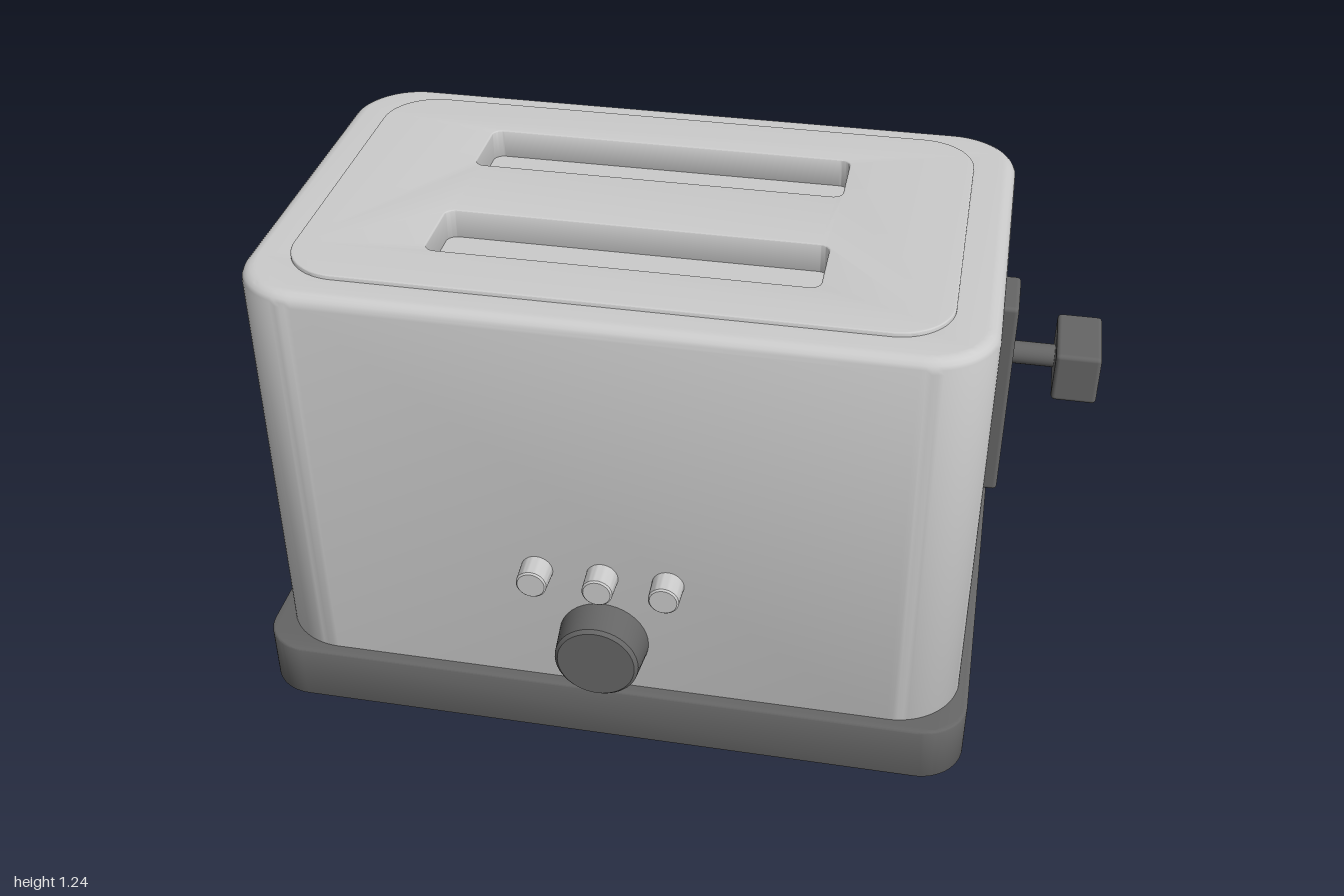
import * as THREE from 'three';
import { toCreasedNormals } from 'three/addons/utils/BufferGeometryUtils.js';
import { RoundedBoxGeometry } from 'three/addons/geometries/RoundedBoxGeometry.js';

const metal = new THREE.MeshStandardMaterial({ color: 0xcccccc });
const dark = new THREE.MeshStandardMaterial({ color: 0x666666 });

// Rounded rectangle in plan; shape y runs along -z
function plan(Type, [x0, x1, z0, z1], r) {
  const s = new Type(), a = -z1, b = -z0;
  s.moveTo(x0 + r, a);
  s.lineTo(x1 - r, a);
  s.absarc(x1 - r, a + r, r, -Math.PI / 2, 0);
  s.lineTo(x1, b - r);
  s.absarc(x1 - r, b - r, r, 0, Math.PI / 2);
  s.lineTo(x0 + r, b);
  s.absarc(x0 + r, b - r, r, Math.PI / 2, Math.PI);
  s.lineTo(x0, a + r);
  s.absarc(x0 + r, a + r, r, Math.PI, Math.PI * 1.5);
  return s;
}

// Upright slab with rounded corners, softened edges and optional openings
function slab(rect, y0, y1, r, bevel, holes = []) {
  const shape = plan(THREE.Shape, rect, r);
  holes.forEach(h => shape.holes.push(plan(THREE.Path, h.rect, h.r)));
  const geo = new THREE.ExtrudeGeometry(shape, {
    depth: y1 - y0 - 2 * bevel, bevelThickness: bevel, bevelSize: bevel,
    bevelOffset: -bevel, bevelSegments: 5, curveSegments: 10,
  });
  geo.rotateX(-Math.PI / 2).translate(0, y0 + bevel, 0);
  return toCreasedNormals(geo, 0.6);
}

// Box given by its extents
function block(x0, x1, y0, y1, z0, z1, r = 0.01) {
  return new RoundedBoxGeometry(x1 - x0, y1 - y0, z1 - z0, 3, r)
    .translate((x0 + x1) / 2, (y0 + y1) / 2, (z0 + z1) / 2);
}

// Tapered disc from y = 0 to h with softened rims
function disc(r0, r1, h, e) {
  const pts = [[0, 0], [r0 - e, 0], [r0, e], [r1, h - e], [r1 - e, h], [0, h]];
  const geo = new THREE.LatheGeometry(pts.map(p => new THREE.Vector2(...p)), 40);
  return toCreasedNormals(geo, 0.6);
}

export function createModel() {
  const group = new THREE.Group();
  const add = (name, geo, mat) => {
    const mesh = new THREE.Mesh(geo, mat);
    mesh.name = name;
    group.add(mesh);
    return mesh;
  };

  // Base and housing
  add('base', slab([-0.945, 0.79, -0.595, 0.535], 0.07, 0.22, 0.11, 0.008), dark);
  add('housing', slab([-0.91, 0.765, -0.555, 0.505], 0.16, 1.23, 0.16, 0.03,
    [{ rect: [-0.7, 0.55, -0.4, 0.34], r: 0.05 }]), metal);

  // Top plate with two bread slots and their floor
  const slots = [[-0.52, 0.37, -0.33, -0.145], [-0.52, 0.37, 0.085, 0.27]];
  add('topPlate', slab([-0.815, 0.665, -0.48, 0.42], 1.16, 1.24, 0.13, 0.004,
    slots.map(rect => ({ rect, r: 0.025 }))), metal);
  add('slotFloor', block(-0.69, 0.54, 1.14, 1.17, -0.39, 0.33, 0.005), metal);

  // Feet
  for (const x of [-0.75, 0.605]) for (const z of [-0.445, 0.395])
    add('foot', disc(0.07, 0.064, 0.08, 0.006), dark).position.set(x, 0, z);

  // Front knob and buttons
  const knob = add('knob', disc(0.108, 0.1, 0.1, 0.008), dark);
  knob.rotation.x = Math.PI / 2;
  knob.position.set(-0.075, 0.36, 0.495);
  for (const x of [-0.23, -0.075, 0.08]) {
    const button = add('button', disc(0.038, 0.036, 0.07, 0.004), metal);
    button.rotation.x = Math.PI / 2;
    button.position.set(x, 0.55, 0.495);
  }

  // Lever on the side
  add('leverTrack', block(0.75, 0.802, 0.585, 1.1, -0.1, 0.05), dark);
  const stem = add('leverStem', new THREE.CylinderGeometry(0.027, 0.027, 0.13, 24), dark);
  stem.rotation.z = Math.PI / 2;
  stem.position.set(0.85, 0.938, -0.027);
  add('leverHandle', block(0.897, 1, 0.877, 1, -0.12, 0.07), dark);

  // Crumb tray grip
  add('crumbTray', block(-1, -0.92, 0.09, 0.15, -0.235, 0.18, 0.006), metal);

  return group;
}
